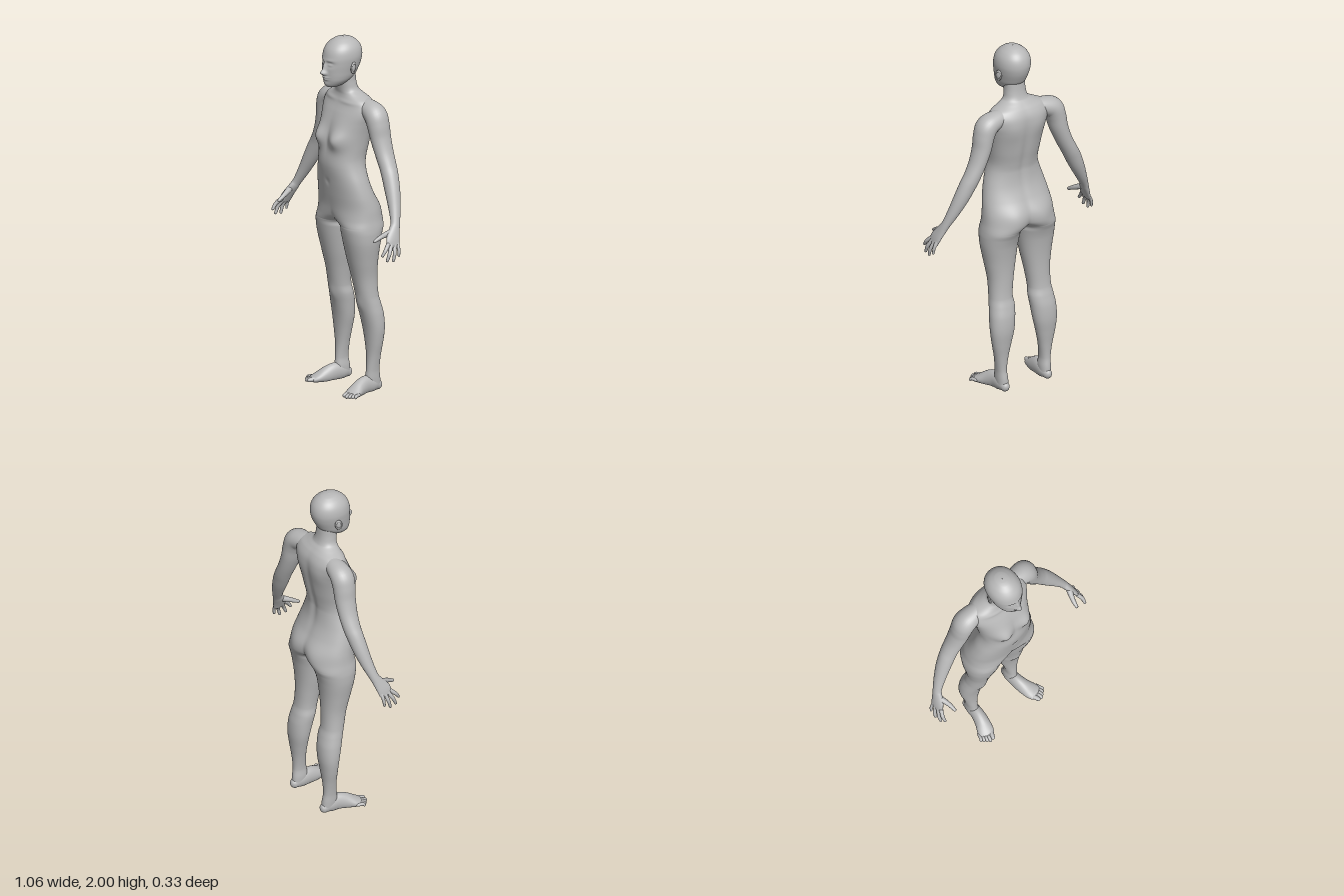
import * as THREE from 'three';
import { mergeGeometries, mergeVertices } from 'three/addons/utils/BufferGeometryUtils.js';

const skin = new THREE.MeshStandardMaterial({ color: 0xb8b8b8 });
skin.name = 'matte grey';

// Smooth interpolation through rows; keys are the parameter value of each row.
function smoothRows(rows, keys, steps) {
  const last = rows.length - 1;
  const slope = (i, c) => {
    const a = Math.max(i - 1, 0), b = Math.min(i + 1, last);
    return (rows[b][c] - rows[a][c]) / (keys[b] - keys[a]);
  };
  const out = [];
  for (let i = 0; i < last; i++) {
    const h = keys[i + 1] - keys[i];
    for (let s = 0; s < steps; s++) {
      const t = s / steps, t2 = t * t, t3 = t2 * t;
      out.push(rows[i].map((v, c) =>
        (2 * t3 - 3 * t2 + 1) * v + (t3 - 2 * t2 + t) * h * slope(i, c) +
        (3 * t2 - 2 * t3) * rows[i + 1][c] + (t3 - t2) * h * slope(i + 1, c)));
    }
  }
  out.push(rows[last].slice());
  return out;
}

// Joins equal-length rings of [x, y, z] points into a smooth skin.
function skinRings(rings) {
  const n = rings[0].length, index = [];
  for (let i = 0; i < rings.length - 1; i++) {
    for (let j = 0; j < n - 1; j++) {
      const a = i * n + j, b = a + n;
      index.push(a, b, a + 1, b, b + 1, a + 1);
    }
  }
  const geo = new THREE.BufferGeometry();
  geo.setAttribute('position', new THREE.Float32BufferAttribute(rings.flat(2), 3));
  geo.setIndex(index);
  return geo;
}

function mirrored(geo) {
  const copy = geo.clone().scale(-1, 1, 1);
  const ix = copy.index.array;
  for (let i = 0; i < ix.length; i += 3) [ix[i], ix[i + 1]] = [ix[i + 1], ix[i]];
  return copy;
}

function finish(geo) {
  geo.deleteAttribute('normal');
  const welded = mergeVertices(geo, 1e-5);
  welded.computeVertexNormals();
  return welded;
}

// Symmetric form from rows [y, inner x, outer x, front z, back z], cut at x = 0.
// Bumps are [x, y, width, height, amount, side], side 1 = front, -1 = back.
function symmetricLoft(rows, bumps, seg, steps, power) {
  const pow = v => Math.sign(v) * Math.abs(v) ** power;
  const rings = smoothRows(rows, rows.map(r => r[0]), steps).map(([y, xi, xo, zf, zb]) => {
    const cx = (xi + xo) / 2, rx = (xo - xi) / 2, cz = (zf + zb) / 2, rz = (zf - zb) / 2;
    const k = THREE.MathUtils.clamp(cx / rx, -1, 1);
    const end = xi > -1e-6 ? Math.PI : Math.acos(-Math.sign(k) * Math.abs(k) ** (1 / power));
    return Array.from({ length: seg + 1 }, (_, j) => {
      const a = end * (2 * j / seg - 1), sin = Math.sin(a);
      let x = cx + rx * pow(Math.cos(a)), z = cz + rz * pow(sin);
      if (Math.abs(x) < 1e-4 || (xi <= 0 && (j === 0 || j === seg))) x = 0;
      for (const [bx, by, sx, sy, amount, side] of bumps) {
        const g = Math.exp(-(((x - bx) / sx) ** 2 + ((y - by) / sy) ** 2) / 2);
        z += side * amount * g * Math.max(0, side * sin);
      }
      return [x, y, z];
    });
  });
  const half = skinRings(rings);
  return finish(mergeGeometries([half, mirrored(half)]));
}

// Round-ended limb through rows [x, y, z, side radius, depth radius]; ref sets the depth axis.
function limb(rows, ref, seg = 20, steps = 6) {
  const path = smoothRows(rows, rows.map((_, i) => i), steps);
  const last = path.length - 1, rings = [];
  const point = i => new THREE.Vector3(...path[i].slice(0, 3));
  const addRing = (i, cap, dir) => {
    const T = point(Math.min(i + 1, last)).sub(point(Math.max(i - 1, 0))).normalize();
    const D = ref.clone().addScaledVector(T, -ref.dot(T)).normalize();
    const S = T.clone().cross(D);
    const [, , , rs, rd] = path[i];
    const c = point(i).addScaledVector(T, dir * Math.min(rs, rd) * Math.sin(cap));
    rings.push(Array.from({ length: seg + 1 }, (_, j) => {
      const a = (j % seg) / seg * Math.PI * 2, f = Math.cos(cap);
      return c.clone().addScaledVector(S, rs * f * Math.cos(a)).addScaledVector(D, rd * f * Math.sin(a)).toArray();
    }));
  };
  for (let k = 5; k > 0; k--) addRing(0, k / 5 * Math.PI / 2, -1);
  for (let i = 0; i <= last; i++) addRing(i, 0, 0);
  for (let k = 1; k <= 5; k++) addRing(last, k / 5 * Math.PI / 2, 1);
  return skinRings(rings);
}

const Y = new THREE.Vector3(0, 1, 0), Z = new THREE.Vector3(0, 0, 1);

// Legs, trunk and neck as one form
const bodyRows = [
  [0.03, 0.11, 0.17, -0.04, -0.128], [0.07, 0.11, 0.172, -0.035, -0.125], [0.12, 0.115, 0.173, -0.04, -0.118],
  [0.2, 0.105, 0.184, -0.045, -0.122], [0.28, 0.088, 0.2, -0.042, -0.132], [0.36, 0.07, 0.21, -0.033, -0.141],
  [0.44, 0.06, 0.208, -0.017, -0.138], [0.5, 0.055, 0.2, -0.004, -0.125], [0.55, 0.06, 0.193, 0.008, -0.112],
  [0.65, 0.048, 0.192, 0.028, -0.107], [0.75, 0.03, 0.206, 0.052, -0.11], [0.85, 0.015, 0.222, 0.075, -0.122],
  [0.91, 0.006, 0.225, 0.086, -0.135], [0.945, 0, 0.222, 0.09, -0.145], [0.99, -0.09, 0.215, 0.094, -0.15],
  [1.05, -0.17, 0.209, 0.099, -0.145], [1.12, -0.198, 0.198, 0.11, -0.118], [1.2, -0.178, 0.178, 0.122, -0.093],
];
const trunkRows = [
  [1.28, 0.153, 0.134, -0.086], [1.33, 0.146, 0.133, -0.093], [1.4, 0.152, 0.12, -0.108], [1.47, 0.162, 0.108, -0.12],
  [1.53, 0.175, 0.095, -0.128], [1.58, 0.188, 0.078, -0.13], [1.62, 0.188, 0.06, -0.125], [1.655, 0.163, 0.047, -0.108],
  [1.68, 0.108, 0.042, -0.086], [1.7, 0.074, 0.044, -0.068], [1.74, 0.062, 0.05, -0.056], [1.8, 0.06, 0.06, -0.05],
];
const fullWidth = ([y, x, zf, zb]) => [y, -x, x, zf, zb];
const bodyBumps = [
  [0.085, 1.435, 0.042, 0.038, 0.042, 1], [0.09, 1.5, 0.05, 0.05, 0.01, 1], [0.09, 1.645, 0.05, 0.008, 0.005, 1],
  [0.125, 0.5, 0.025, 0.03, 0.008, 1], [0, 1.19, 0.01, 0.012, -0.004, 1],
  [0.085, 1.02, 0.055, 0.06, 0.018, -1], [0, 1.36, 0.018, 0.14, -0.01, -1], [0.09, 1.55, 0.04, 0.05, 0.008, -1],
];

// Head with the face shaped by bumps
const headRows = [
  [1.724, 0.001, 0.09, 0.085], [1.729, 0.025, 0.117, 0.05], [1.74, 0.043, 0.127, 0.02], [1.765, 0.065, 0.134, -0.02],
  [1.79, 0.076, 0.137, -0.05], [1.82, 0.083, 0.138, -0.068], [1.86, 0.091, 0.138, -0.085], [1.9, 0.095, 0.133, -0.092],
  [1.94, 0.088, 0.12, -0.085], [1.97, 0.069, 0.095, -0.065], [1.99, 0.042, 0.064, -0.036], [1.997, 0.023, 0.041, -0.013],
  [2, 0.001, 0.015, 0.013],
];
const faceBumps = [
  [0, 1.815, 0.01, 0.011, 0.026, 1], [0, 1.845, 0.008, 0.018, 0.012, 1], [0.014, 1.81, 0.006, 0.007, 0.009, 1],
  [0.034, 1.864, 0.016, 0.011, -0.012, 1], [0.034, 1.861, 0.011, 0.006, 0.009, 1], [0.032, 1.884, 0.018, 0.006, 0.004, 1],
  [0, 1.789, 0.015, 0.004, 0.012, 1], [0, 1.777, 0.014, 0.0045, 0.011, 1], [0, 1.748, 0.018, 0.012, 0.006, 1],
];

// Left arm from the shoulder to the palm
const armRows = [
  [0.08, 1.632, -0.045, 0.036, 0.04], [0.16, 1.614, -0.046, 0.052, 0.058], [0.213, 1.59, -0.048, 0.06, 0.065],
  [0.236, 1.54, -0.05, 0.056, 0.064], [0.253, 1.47, -0.054, 0.05, 0.06], [0.283, 1.39, -0.057, 0.045, 0.054],
  [0.318, 1.32, -0.057, 0.044, 0.049], [0.345, 1.27, -0.052, 0.045, 0.046], [0.38, 1.2, -0.042, 0.041, 0.042],
  [0.42, 1.12, -0.026, 0.031, 0.034], [0.455, 1.05, -0.006, 0.022, 0.027], [0.468, 1.02, 0.008, 0.02, 0.031],
  [0.488, 0.975, 0.032, 0.016, 0.041], [0.498, 0.95, 0.04, 0.013, 0.041], [0.503, 0.935, 0.045, 0.01, 0.037],
];
// Left thumb and fingers: base, middle and tip with radii
const fingers = [
  [[0.468, 1.005, 0.04, 0.017], [0.452, 0.985, 0.085, 0.013], [0.445, 0.964, 0.124, 0.009]],
  [[0.497, 0.95, 0.072, 0.012], [0.51, 0.925, 0.098, 0.0105], [0.51, 0.898, 0.118, 0.008]],
  [[0.5, 0.945, 0.054, 0.012], [0.518, 0.905, 0.077, 0.0105], [0.519, 0.868, 0.093, 0.008]],
  [[0.501, 0.943, 0.034, 0.012], [0.521, 0.902, 0.045, 0.01], [0.523, 0.863, 0.055, 0.008]],
  [[0.499, 0.948, 0.014, 0.011], [0.517, 0.917, 0.015, 0.009], [0.522, 0.884, 0.018, 0.007]],
];

// Left foot from heel to ball, then the toes
const footRows = [
  [0.14, 0.025, -0.114, 0.025, 0.028], [0.14, 0.035, -0.08, 0.033, 0.045], [0.143, 0.038, -0.03, 0.035, 0.052],
  [0.153, 0.028, 0.02, 0.04, 0.045], [0.167, 0.018, 0.06, 0.045, 0.03], [0.178, 0.012, 0.085, 0.044, 0.02],
];
const toes = [
  [[0.147, 0.015, 0.07, 0.017], [0.158, 0.014, 0.1, 0.015], [0.166, 0.013, 0.124, 0.012]],
  ...[0, 1, 2, 3].map(i => {
    const x = 0.172 + i * 0.013, z = 0.08 - i * 0.007, r = 0.0105 - i * 0.0005;
    return [[x, 0.014, z, r], [x + 0.009, 0.015, z + 0.026, r], [x + 0.014, 0.009, z + 0.046 - i * 0.004, r - 0.001]];
  }),
];
const digit = (rows, ref) => limb(rows.map(r => [...r, r[3]]), ref, 12, 5);

// Ear: a raised rim around a shallow bowl
function earGeometry() {
  const rim = new THREE.TorusGeometry(0.016, 0.005, 10, 28).scale(1, 1.55, 1);
  const bowl = new THREE.SphereGeometry(0.016, 20, 14).scale(1, 1.5, 0.45);
  const lobe = new THREE.SphereGeometry(0.008, 14, 10).translate(0.004, -0.026, 0);
  return mergeGeometries([rim, bowl, lobe]).rotateY(Math.PI / 2 + 0.3).rotateX(-0.15).translate(0.094, 1.842, 0.014);
}

export function createModel() {
  const model = new THREE.Group();
  model.name = 'standing figure';
  const add = (name, geo, parent = model) => {
    const mesh = new THREE.Mesh(geo, skin);
    mesh.name = name;
    parent.add(mesh);
  };

  add('body', symmetricLoft([...bodyRows, ...trunkRows.map(fullWidth)], bodyBumps, 64, 8, 0.92));
  add('head', symmetricLoft(headRows.map(fullWidth), faceBumps, 88, 9, 0.96));

  // The sole is pressed flat against the ground
  const foot = limb(footRows, Y, 28);
  const pos = foot.attributes.position;
  for (let i = 0; i < pos.count; i++) pos.setY(i, Math.max(pos.getY(i), 0));

  const parts = {
    Arm: [limb(armRows, Z, 32)],
    Hand: fingers.map(f => digit(f, Z)),
    Foot: [foot],
    Toes: toes.map(t => digit(t, Y)),
    Ear: [earGeometry()],
  };
  for (const side of ['left', 'right']) {
    for (const [name, geos] of Object.entries(parts)) {
      const group = new THREE.Group();
      group.name = side + name;
      geos.forEach((geo, i) => {
        const g = side === 'left' ? geo.clone() : mirrored(geo);
        g.deleteAttribute('uv');
        add(`${side}${name}${geos.length > 1 ? i + 1 : ''}`, finish(g), group);
      });
      model.add(group);
    }
  }
  return model;
}
